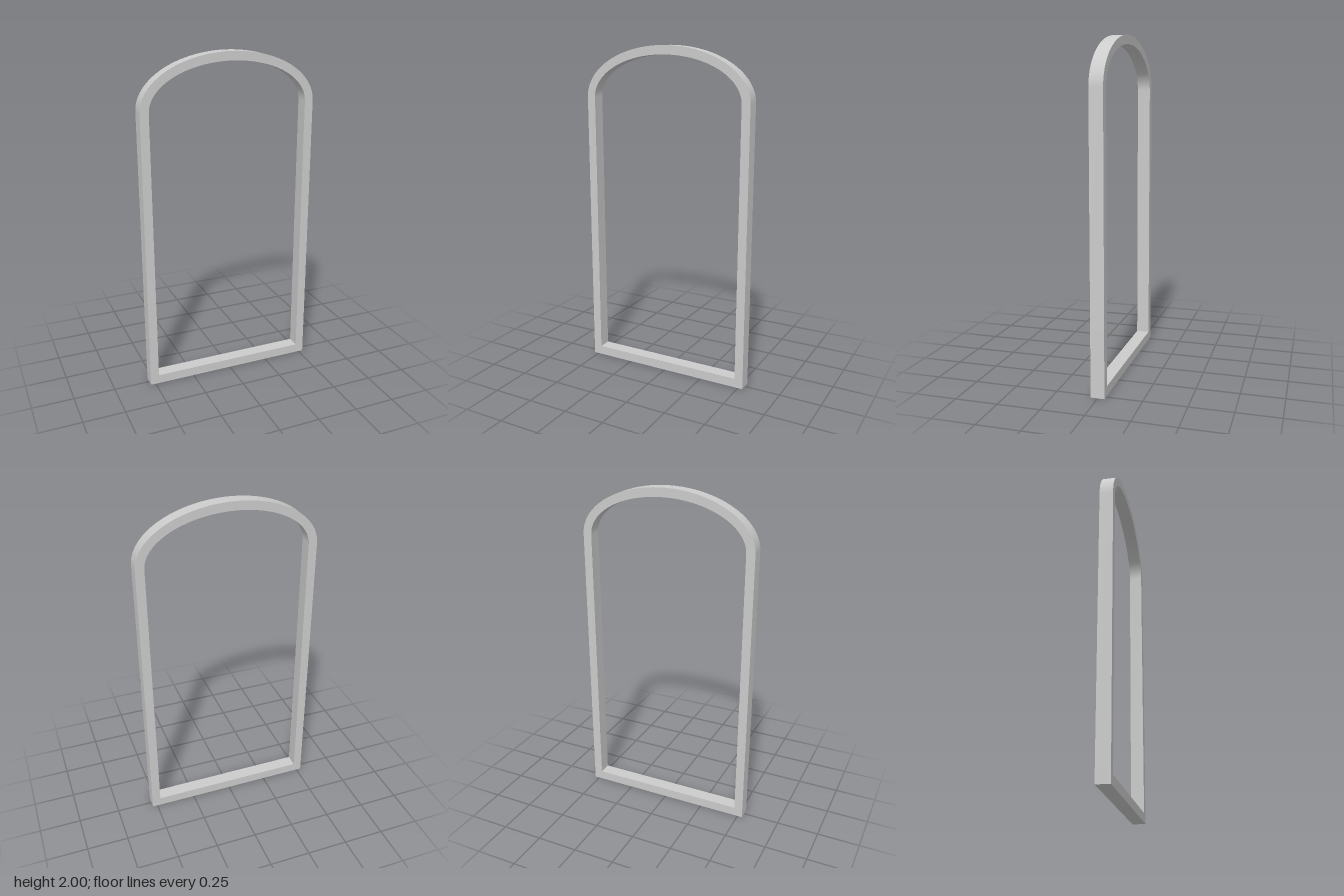
import * as THREE from 'three';
import { toCreasedNormals } from 'three/addons/utils/BufferGeometryUtils.js';

const DEPTH = 0.08;
const SPRING = 1.69; // height where the arch begins

// Straight-sided outline with a half-ellipse on top
function archOutline(path, halfWidth, bottom, top) {
  path.moveTo(-halfWidth, bottom);
  path.lineTo(halfWidth, bottom);
  path.lineTo(halfWidth, SPRING);
  path.absellipse(0, SPRING, halfWidth, top - SPRING, 0, Math.PI, false, 0);
  path.lineTo(-halfWidth, bottom);
  return path;
}

export function createModel() {
  const model = new THREE.Group();
  model.name = 'archedFrame';

  // Frame: outer outline with the opening cut out
  const outline = archOutline(new THREE.Shape(), 0.53, 0, 2);
  outline.holes.push(archOutline(new THREE.Path(), 0.478, 0.056, 1.948));
  const geometry = new THREE.ExtrudeGeometry(outline, {
    depth: DEPTH,
    bevelEnabled: false,
    curveSegments: 24,
  });
  geometry.translate(0, 0, -DEPTH / 2);

  const frame = new THREE.Mesh(
    toCreasedNormals(geometry, Math.PI / 5),
    new THREE.MeshStandardMaterial({ color: 0xcccccc })
  );
  frame.name = 'windowFrame';
  model.add(frame);
  return model;
}
